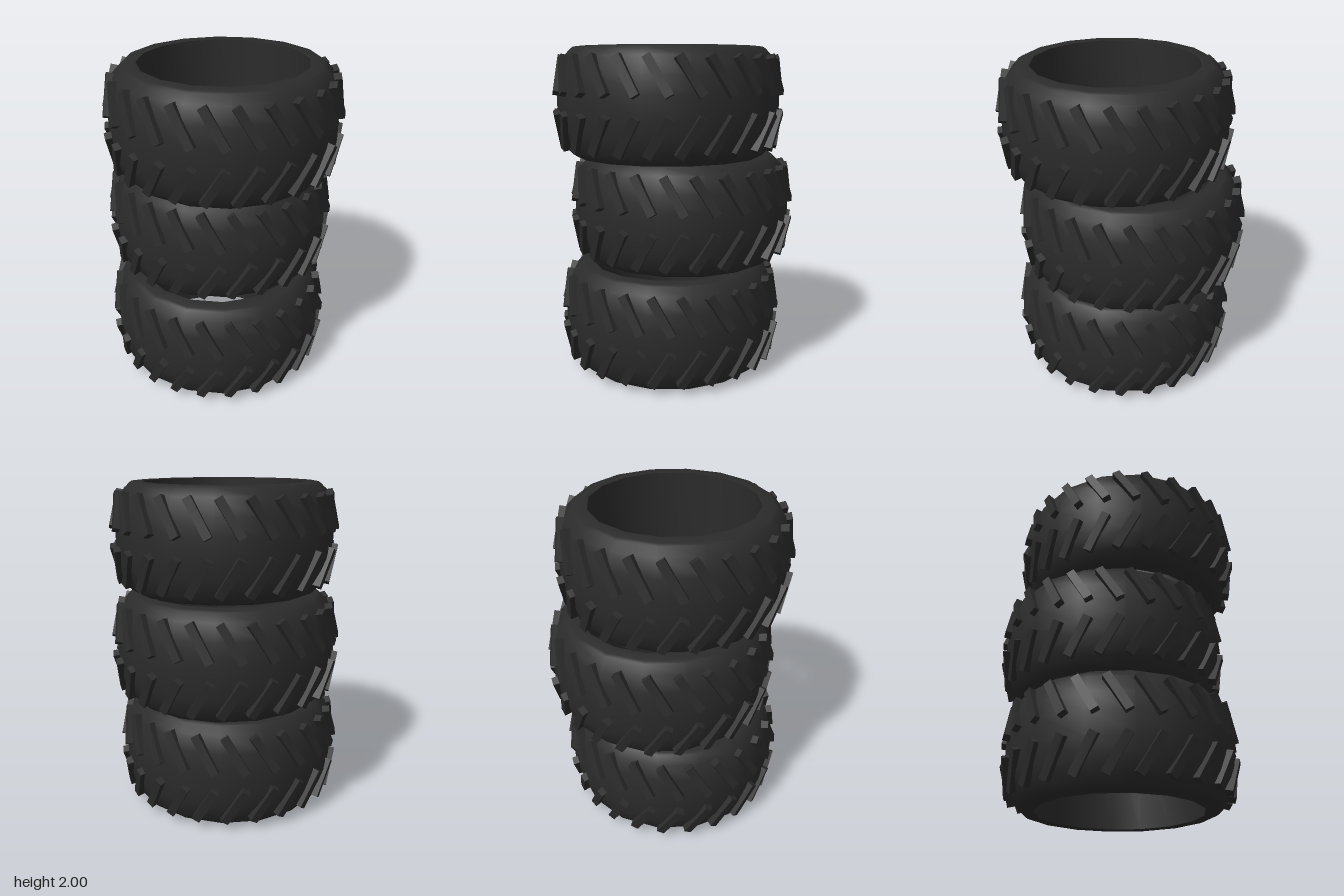
import * as THREE from 'three';
import { mergeGeometries, toCreasedNormals } from 'three/addons/utils/BufferGeometryUtils.js';

const HALF = 0.327; // half the width of one tyre
const SIDES = 16;
const LUGS = 24;

// Closed ring section: rounded tread outside, straight bore inside
function carcassGeometry() {
  const upper = [[0.68, 0.07], [0.665, 0.17], [0.635, 0.27], [0.592, 0.316], [0.575, HALF], [0.5, HALF]];
  const lower = upper.map(([r, y]) => [r, -y]).reverse();
  const points = [...lower, ...upper, lower[0]].map(([r, y]) => new THREE.Vector2(r, y));
  return toCreasedNormals(new THREE.LatheGeometry(points, SIDES), 0.6);
}

// One row of slanted tread blocks; side is 1 for the upper row, -1 for the lower
function lugRowGeometry(side) {
  const lugs = [];
  for (let i = 0; i < LUGS; i++) {
    const lug = new THREE.BoxGeometry(0.05, 0.25, 0.06);
    lug.rotateZ(side * 0.53);
    lug.rotateX(side * -0.18);
    lug.translate(0, side * 0.16, 0.657);
    lug.rotateY(-0.135 + (i / LUGS) * Math.PI * 2);
    lugs.push(lug);
  }
  return mergeGeometries(lugs);
}

export function createModel() {
  const model = new THREE.Group();
  model.name = 'tyreStack';
  const rubber = new THREE.MeshStandardMaterial({ color: 0x2b2b2b });
  rubber.name = 'black rubber';

  const parts = {
    carcass: carcassGeometry(),
    upperLugs: lugRowGeometry(1),
    lowerLugs: lugRowGeometry(-1),
  };

  // Three equal tyres, each slightly off centre
  const places = {
    bottomTyre: [-0.032, HALF, -0.002],
    middleTyre: [0.033, 1.017, -0.043],
    topTyre: [-0.034, 2 - HALF, 0.047],
  };
  for (const [name, position] of Object.entries(places)) {
    const tyre = new THREE.Group();
    tyre.name = name;
    tyre.position.set(...position);
    for (const [part, geometry] of Object.entries(parts)) {
      const mesh = new THREE.Mesh(geometry, rubber);
      mesh.name = part;
      tyre.add(mesh);
    }
    model.add(tyre);
  }
  return model;
}
